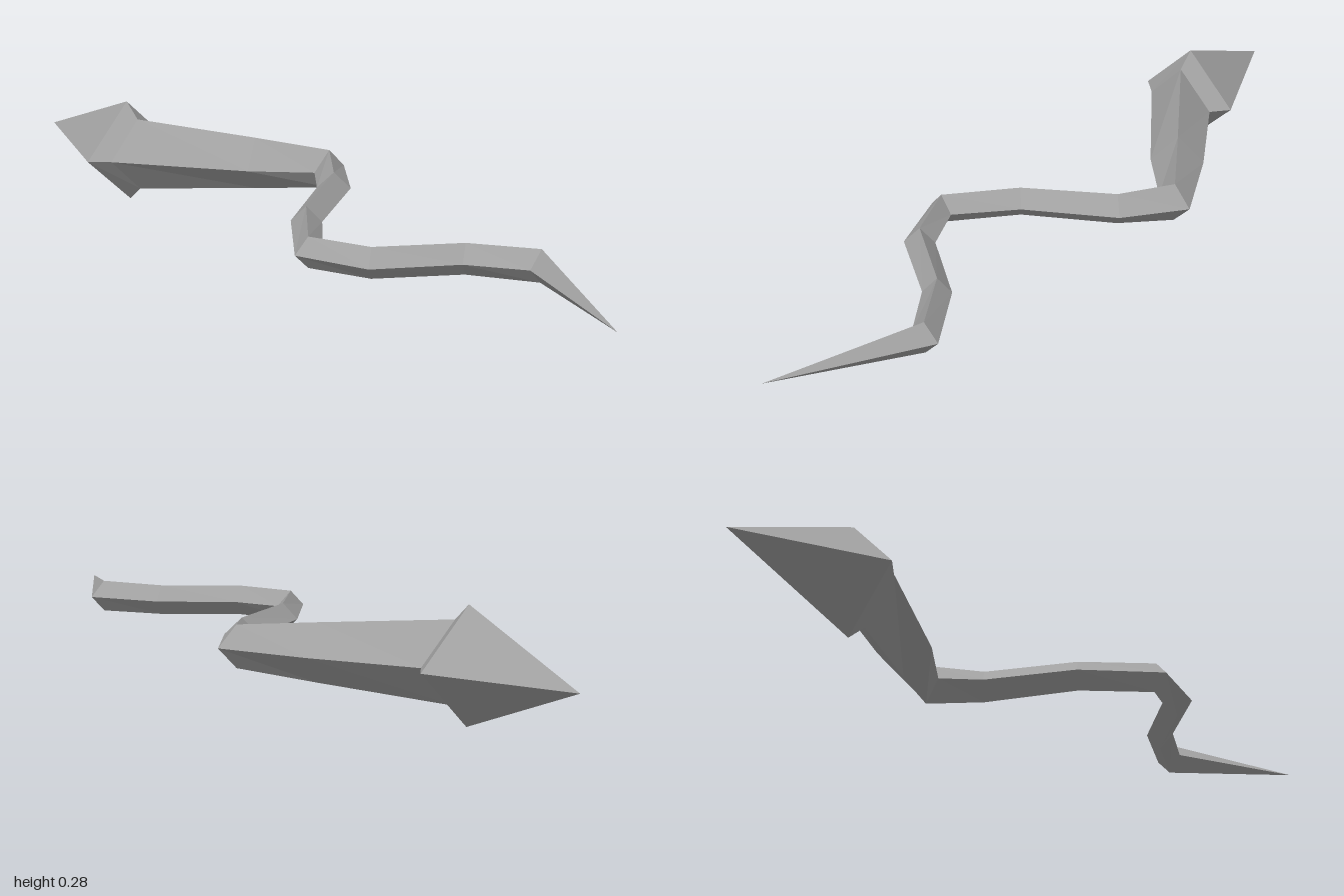
import * as THREE from 'three';

const MID_Y = 0.141;

// Stations along the body: [ridge x, ridge z, front x, front z, back x, back z, half height]
const TIP = [-1, 0.07, -1, 0.07, -1, 0.07, 0];
const HEAD = [-0.655, 0.07, -0.655, 0.21, -0.655, -0.07, 0.141];
const NECK = [-0.61, 0.07, -0.61, 0.165, -0.61, -0.03, 0.1];
const BODY = [
  NECK,
  [-0.335, -0.11, -0.3, -0.05, -0.37, -0.17, 0.072],
  [-0.163, -0.22, -0.168, -0.17, -0.158, -0.27, 0.053],
  [-0.05, -0.125, -0.083, -0.096, -0.018, -0.155, 0.043],
  [0.07, 0.09, 0.04, 0.114, 0.1, 0.064, 0.04],
  [0.217, 0.225, 0.21, 0.262, 0.226, 0.187, 0.04],
  [0.365, 0.165, 0.388, 0.198, 0.345, 0.134, 0.04],
  [0.5, -0.01, 0.52, 0.021, 0.48, -0.037, 0.04],
  [0.65, -0.103, 0.65, -0.064, 0.65, -0.143, 0.042],
];
const TAIL_END = [0.99, 0.064, 0.99, 0.064, 0.99, 0.064, 0];

// Diamond cross-section: top, front, bottom, back
function ring([x, z, fx, fz, bx, bz, h]) {
  return [
    [x, MID_Y + h, z],
    [fx, MID_Y, fz],
    [x, MID_Y - h, z],
    [bx, MID_Y, bz],
  ];
}

// Faceted skin joining consecutive diamonds; pointed ends get single triangles
function loft(name, stations, material) {
  const positions = [];
  for (let i = 0; i < stations.length - 1; i++) {
    const a = ring(stations[i]);
    const b = ring(stations[i + 1]);
    for (let k = 0; k < 4; k++) {
      const n = (k + 1) % 4;
      if (stations[i][6] > 0) positions.push(...a[k], ...a[n], ...b[n]);
      if (stations[i + 1][6] > 0) positions.push(...a[k], ...b[n], ...b[k]);
    }
  }
  const geometry = new THREE.BufferGeometry();
  geometry.setAttribute('position', new THREE.Float32BufferAttribute(positions, 3));
  geometry.computeVertexNormals();
  const mesh = new THREE.Mesh(geometry, material);
  mesh.name = name;
  return mesh;
}

export function createModel() {
  const grey = new THREE.MeshStandardMaterial({ color: 0xa0a0a0, flatShading: true });
  grey.name = 'grey';

  const group = new THREE.Group();
  group.name = 'serpent';
  group.add(
    loft('head', [TIP, HEAD, NECK], grey),
    loft('windingBody', BODY, grey),
    loft('tail', [BODY[BODY.length - 1], TAIL_END], grey),
  );
  return group;
}
